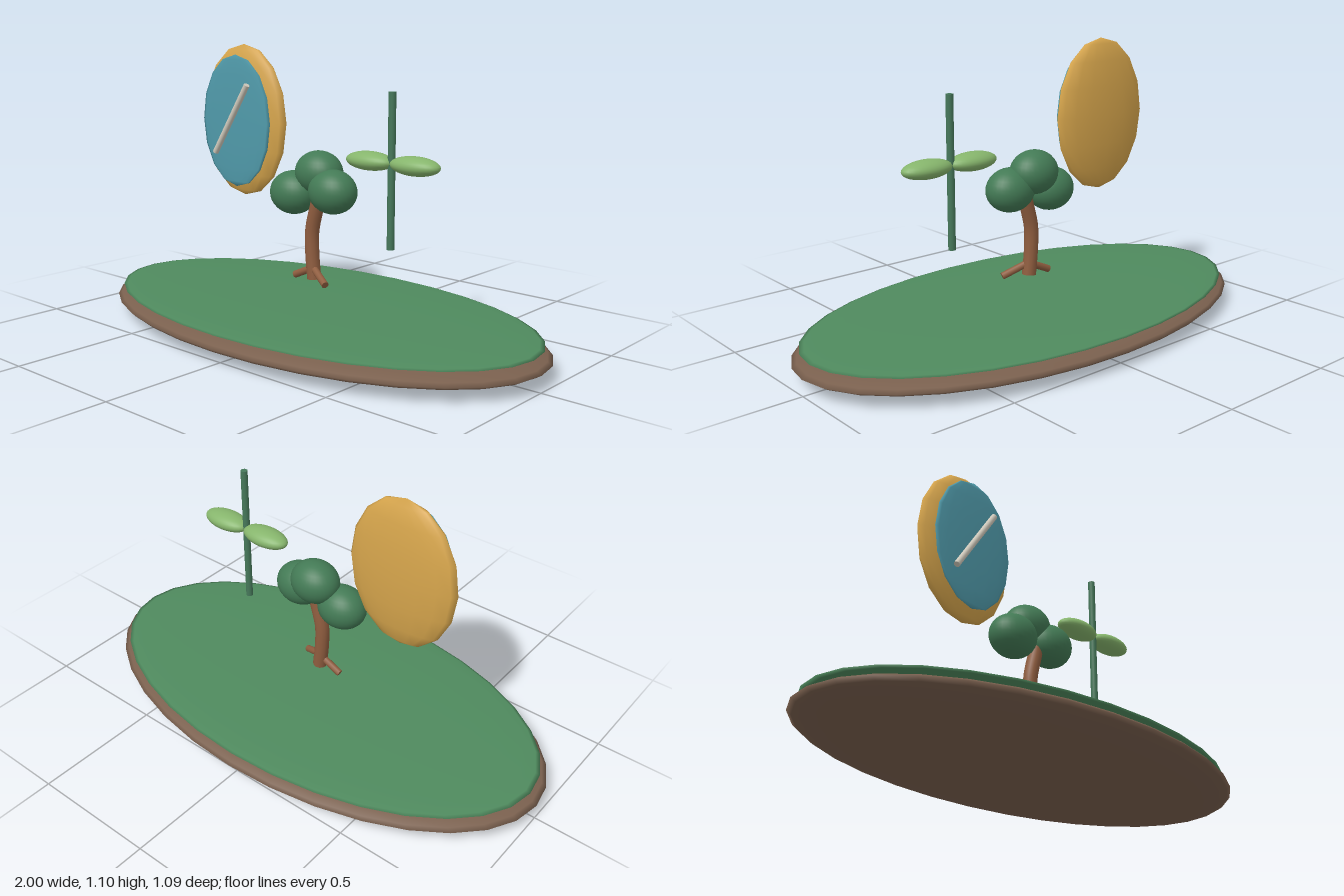
import * as THREE from 'three';

const paint = (color) => new THREE.MeshStandardMaterial({ color, side: THREE.DoubleSide });

export function createModel() {
  const model = new THREE.Group();
  const soil = paint(0x7a604e), grass = paint(0x4f8a5e), bark = paint(0x8f5d3f);
  const foliage = paint(0x437a55), stemGreen = paint(0x46785a), leafGreen = paint(0x86b56c);
  const gold = paint(0xd6a54c), blue = paint(0x509aaa), pale = paint(0xcfc9bb);

  const add = (name, geometry, material, parent = model) => {
    const mesh = new THREE.Mesh(geometry, material);
    mesh.name = name;
    parent.add(mesh);
    return mesh;
  };
  const group = (name) => {
    const g = new THREE.Group();
    g.name = name;
    model.add(g);
    return g;
  };
  // Stretched sphere with radii r at centre c
  const ellipsoid = (name, c, r, material, parent, w = 32, h = 16) => {
    const mesh = add(name, new THREE.SphereGeometry(1, w, h), material, parent);
    mesh.position.set(...c);
    mesh.scale.set(...r);
    return mesh;
  };
  // Straight round bar between two points
  const bar = (name, a, b, radius, material, parent) => {
    const p = new THREE.Vector3(...a), q = new THREE.Vector3(...b);
    const mesh = add(name, new THREE.CylinderGeometry(radius, radius, p.distanceTo(q), 12), material, parent);
    mesh.position.copy(p).lerp(q, 0.5);
    mesh.quaternion.setFromUnitVectors(new THREE.Vector3(0, 1, 0), q.sub(p).normalize());
    return mesh;
  };

  // Ground
  const ground = group('ground');
  ellipsoid('soilBase', [0, 0.06, 0], [1, 0.06, 0.545], soil, ground);
  ellipsoid('grassTop', [0, 0.105, 0], [0.97, 0.018, 0.525], grass, ground);

  // Tree: bent trunk, two roots, three foliage clumps
  const tree = group('tree');
  const trunkPath = new THREE.CatmullRomCurve3([
    [0, 0.21, 0], [-0.01, 0.31, 0], [-0.01, 0.4, 0], [0.015, 0.5, 0], [0.03, 0.56, 0],
  ].map((p) => new THREE.Vector3(...p)));
  add('trunk', new THREE.TubeGeometry(trunkPath, 20, 0.028, 12), bark, tree);
  const trunkEnd = add('trunkEnd', new THREE.CircleGeometry(0.028, 12), bark, tree);
  trunkEnd.rotation.x = Math.PI / 2;
  trunkEnd.position.y = 0.212;
  bar('rightRoot', [0, 0.255, 0], [-0.1, 0.21, 0], 0.014, bark, tree);
  bar('leftRoot', [0, 0.255, 0.005], [0.097, 0.21, 0.046], 0.014, bark, tree);
  for (const [name, c] of [
    ['rightFoliage', [-0.107, 0.537, 0]],
    ['topFoliage', [0, 0.622, -0.028]],
    ['leftFoliage', [0.093, 0.562, 0]],
  ]) ellipsoid(name, c, [0.1, 0.085, 0.084], foliage, tree);

  // Sprout: stem with a leaf to each side
  const sprout = group('sprout');
  bar('stem', [0.37, 0.383, 0], [0.37, 0.953, 0], 0.014, stemGreen, sprout);
  for (const s of [-1, 1]) {
    ellipsoid(s < 0 ? 'rightLeaf' : 'leftLeaf', [0.372 + s * 0.101, 0.698, 0], [0.104, 0.035, 0.054], leafGreen, sprout);
  }

  // Round mirror: gold body, blue face, pale diagonal bar
  const mirror = group('mirror');
  ellipsoid('mirrorBody', [-0.374, 0.798, 0], [0.229, 0.302, 0.051], gold, mirror, 16, 8);
  ellipsoid('mirrorFace', [-0.374, 0.798, 0.048], [0.188, 0.262, 0.011], blue, mirror, 16, 8);
  bar('mirrorBar', [-0.472, 0.667, 0.07], [-0.289, 0.946, 0.07], 0.012, pale, mirror);

  return model;
}
